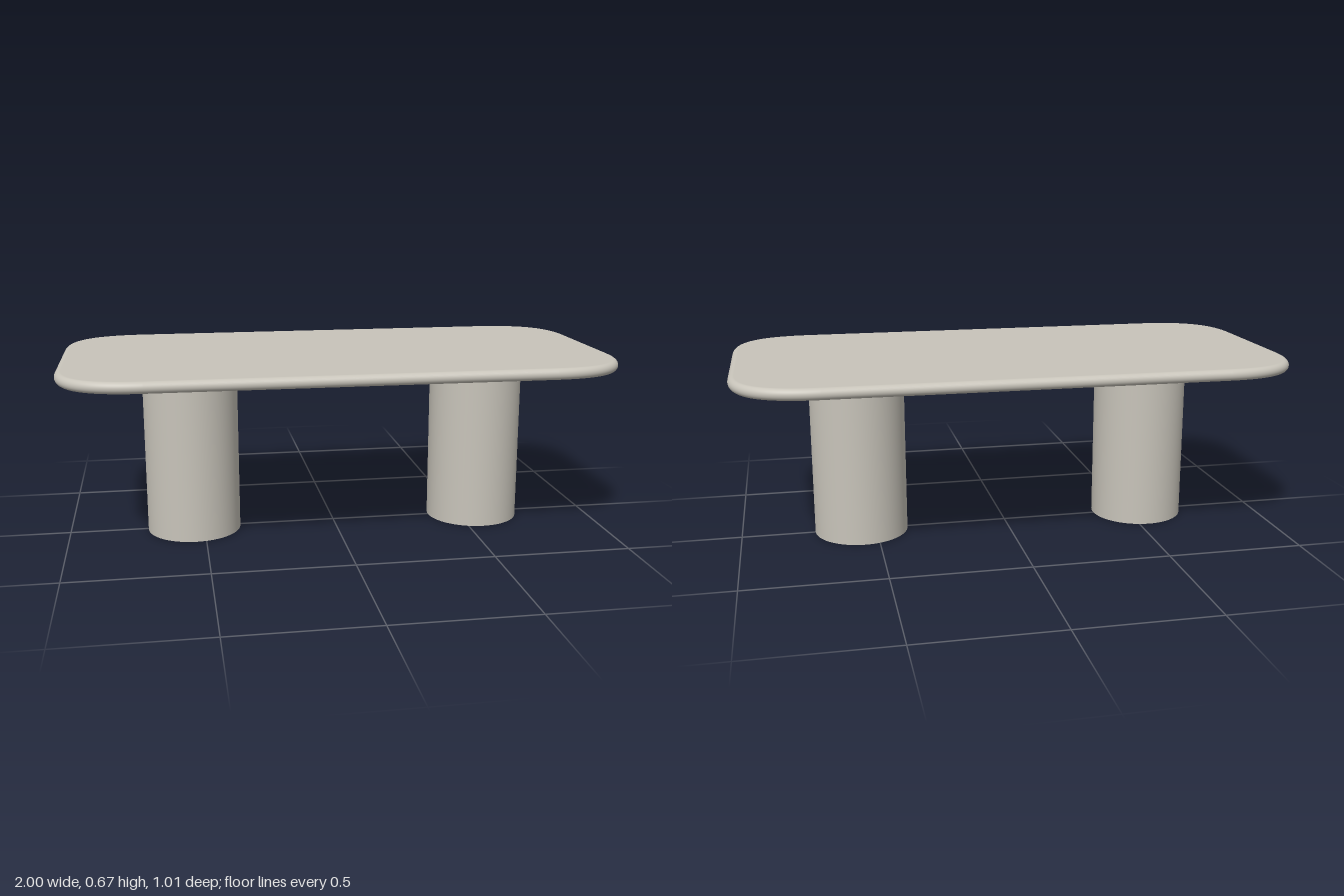
import * as THREE from 'three';

const HALF_X = 1, HALF_Z = 0.505;      // table top half extents
const CORNER_X = 0.3, CORNER_Z = 0.28; // reach of the soft corners
const MID_Y = 0.648, HALF_T = 0.0205;  // table top height and half thickness
const LEG_R = 0.174;

// Outline points with outward normals: four mirrored parabolic corners
function outline(steps) {
  const pts = [];
  [[1, 1], [1, -1], [-1, -1], [-1, 1]].forEach(([sx, sz], q) => {
    for (let i = 0; i <= steps; i++) {
      const t = q % 2 ? 1 - i / steps : i / steps;
      const n = new THREE.Vector2(CORNER_Z * t, CORNER_X * (1 - t)).normalize();
      pts.push({
        x: sx * (HALF_X - CORNER_X * (1 - t) ** 2), z: sz * (HALF_Z - CORNER_Z * t * t),
        nx: sx * n.x, nz: sz * n.y,
      });
    }
  });
  return pts;
}

// Slab with a bullnose edge: rings swept from underside to top, closed at the centre
function slabGeometry() {
  const pts = outline(24), arcs = 16, n = pts.length;
  const pos = [], nor = [], idx = [];
  for (let j = 0; j <= arcs; j++) {
    const a = (j / arcs - 0.5) * Math.PI, c = Math.cos(a), s = Math.sin(a);
    for (const p of pts) {
      const inset = 0.022 * (1 - c);
      pos.push(p.x - p.nx * inset, MID_Y + HALF_T * s, p.z - p.nz * inset);
      nor.push(p.nx * c, s, p.nz * c);
    }
  }
  const bottom = pos.length / 3, top = bottom + 1;
  pos.push(0, MID_Y - HALF_T, 0, 0, MID_Y + HALF_T, 0);
  nor.push(0, -1, 0, 0, 1, 0);
  for (let i = 0; i < n; i++) {
    const k = (i + 1) % n;
    for (let j = 0; j < arcs; j++) {
      const a = j * n + i, b = j * n + k;
      idx.push(a, b, b + n, a, b + n, a + n);
    }
    idx.push(bottom, k, i, top, arcs * n + i, arcs * n + k);
  }
  const g = new THREE.BufferGeometry();
  g.setAttribute('position', new THREE.Float32BufferAttribute(pos, 3));
  g.setAttribute('normal', new THREE.Float32BufferAttribute(nor, 3));
  g.setIndex(idx);
  return g;
}

export function createModel() {
  const model = new THREE.Group();
  model.name = 'table';
  const stone = new THREE.MeshStandardMaterial({ color: 0xc8c4ba });
  stone.name = 'warm grey';

  const top = new THREE.Mesh(slabGeometry(), stone);
  top.name = 'tableTop';
  model.add(top);

  // Two drum legs
  const legHeight = MID_Y - HALF_T + 0.002;
  const legGeometry = new THREE.CylinderGeometry(LEG_R, LEG_R, legHeight, 64);
  for (const [name, x] of [['rightLeg', -0.537], ['leftLeg', 0.555]]) {
    const leg = new THREE.Mesh(legGeometry, stone);
    leg.name = name;
    leg.position.set(x, legHeight / 2, 0.004);
    model.add(leg);
  }
  return model;
}
